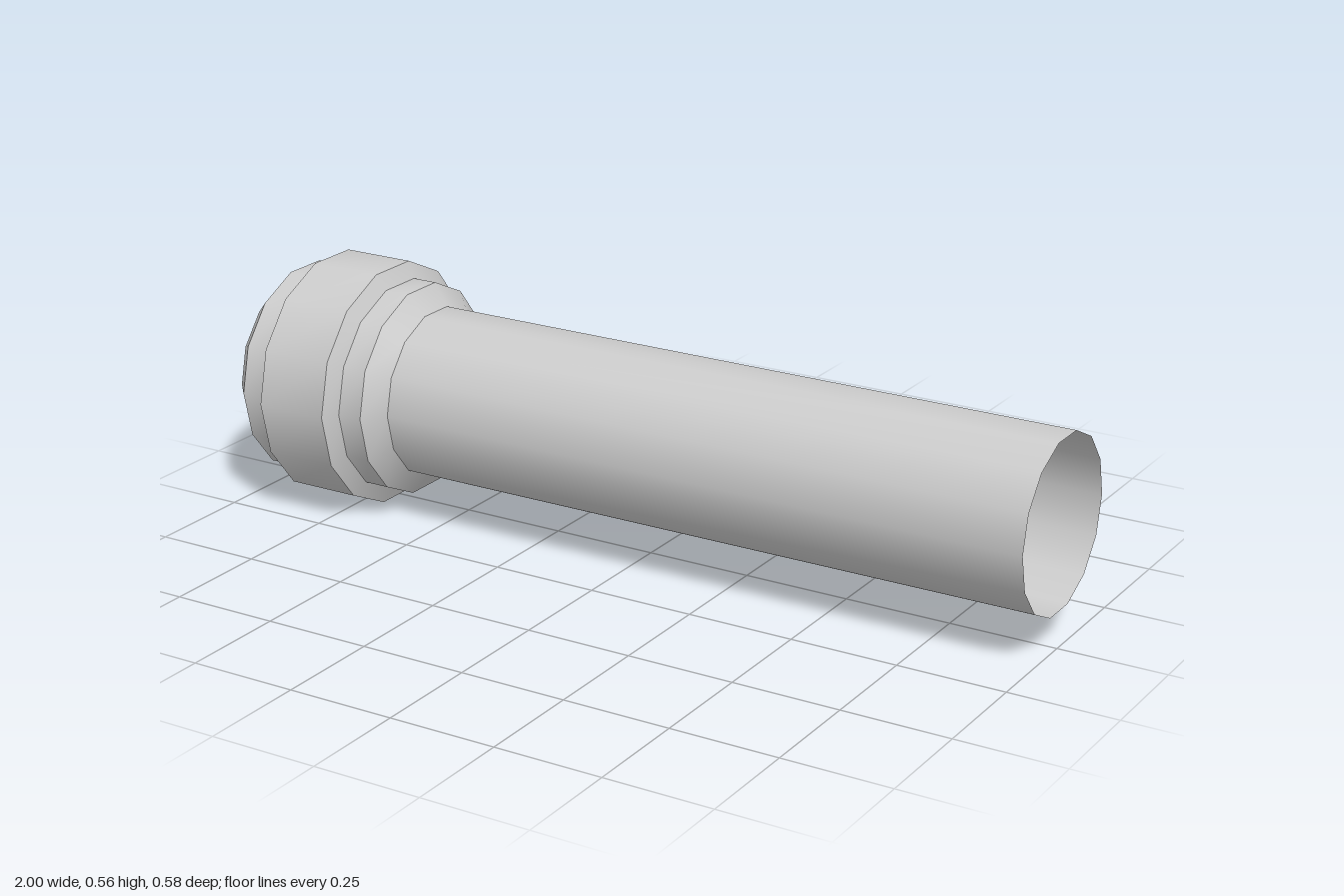
import * as THREE from 'three';
import { toCreasedNormals } from 'three/addons/utils/BufferGeometryUtils.js';

const SIDES = 14;
const AXIS_Y = 0.281;

const material = new THREE.MeshStandardMaterial({ color: 0xcccccc, side: THREE.DoubleSide });

// Open shell turned about the x axis from [x, radius] pairs; vertices lie on +z and -z
function turned(name, profile) {
  const points = profile.map(([x, r]) => new THREE.Vector2(r, x));
  const geometry = toCreasedNormals(new THREE.LatheGeometry(points, SIDES), 0.6);
  geometry.rotateZ(-Math.PI / 2);
  const mesh = new THREE.Mesh(geometry, material);
  mesh.name = name;
  mesh.position.y = AXIS_Y;
  return mesh;
}

export function createModel() {
  const group = new THREE.Group();
  group.name = 'collaredPipe';

  // Long hollow pipe, starting just inside the collar mouth
  group.add(turned('pipe', [[-0.945, 0.2], [1, 0.2]]));

  // Stepped collar: chamfered shoulders around a wider central band
  group.add(turned('collar', [
    [-1, 0.2], [-0.955, 0.25], [-0.9, 0.25], [-0.875, 0.288],
    [-0.7, 0.288], [-0.68, 0.25], [-0.62, 0.25], [-0.58, 0.2],
  ]));

  return group;
}
